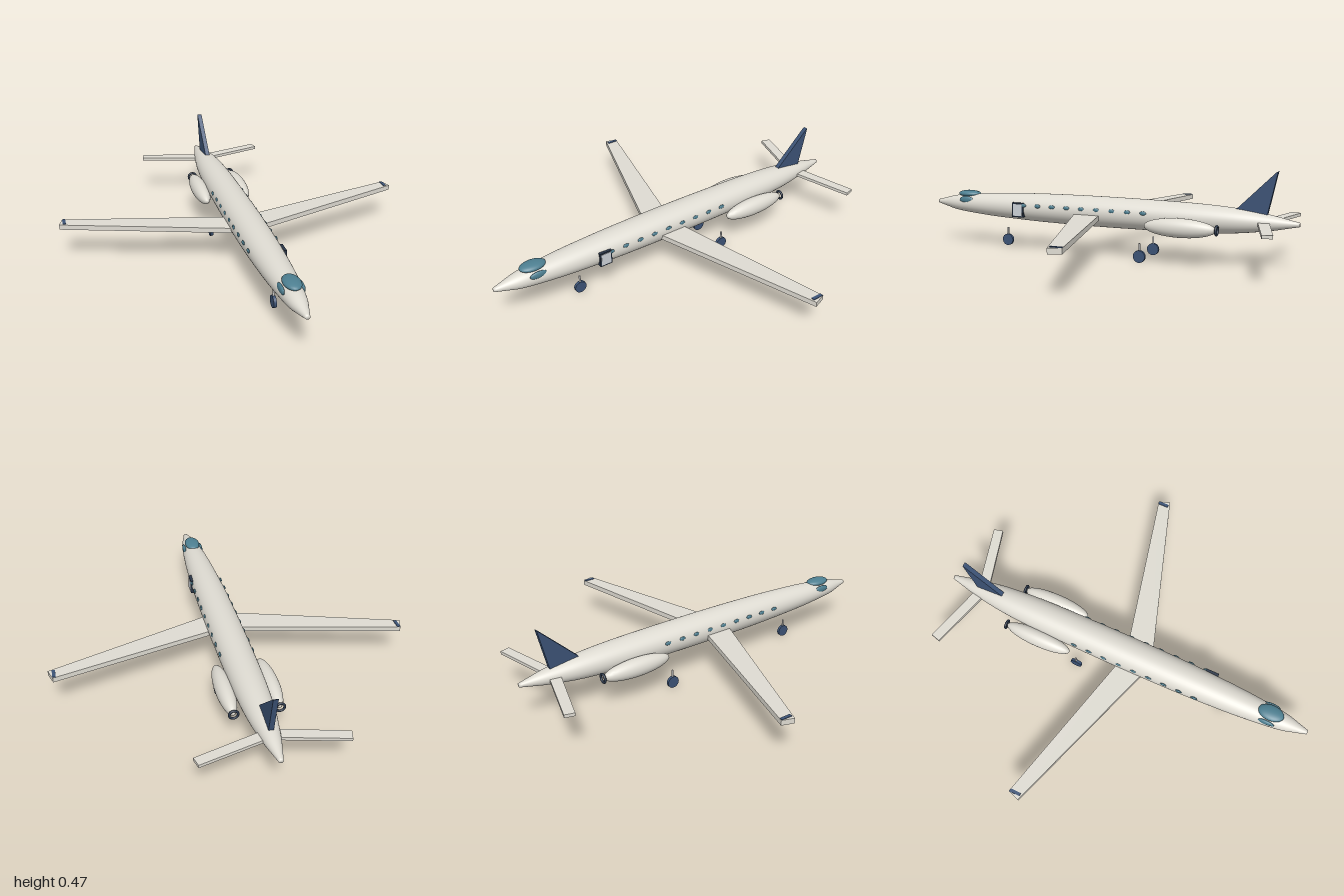
import * as THREE from 'three';

const paint = (color) => new THREE.MeshStandardMaterial({ color });
const WHITE = paint(0xdedbd2), NAVY = paint(0x3c5376), DARK = paint(0x2a3648),
  GLASS = paint(0x4d7f91), PANEL = paint(0xcdd2d8), GREY = paint(0xcccccc);

export function createModel() {
  const plane = new THREE.Group();
  plane.name = 'airplane';

  const add = (name, geometry, material, x = 0, y = 0, z = 0) => {
    const mesh = new THREE.Mesh(geometry, material);
    mesh.name = name;
    mesh.position.set(x, y, z);
    plane.add(mesh);
    return mesh;
  };
  const ellipsoid = (rx, ry, rz) => new THREE.SphereGeometry(1, 28, 18).scale(rx, ry, rz);
  const polygon = (points) => new THREE.Shape(points.map(([a, b]) => new THREE.Vector2(a, b)));

  // Flat panel: outline in (x, z), extruded upward
  const slab = (points, side, thickness) => new THREE.ExtrudeGeometry(
    polygon(points.map(([x, z]) => [x * side, -z])),
    { depth: thickness, bevelEnabled: false }
  ).rotateX(-Math.PI / 2);

  // Fuselage: smooth lathe along z, slightly wider than tall
  const stations = [[-1, 0.011], [-0.94, 0.025], [-0.88, 0.039], [-0.8, 0.053], [-0.7, 0.067],
    [-0.55, 0.078], [-0.35, 0.084], [0, 0.087], [0.3, 0.084], [0.5, 0.077], [0.66, 0.068],
    [0.8, 0.055], [0.88, 0.044], [0.94, 0.028], [1, 0.011]];
  const curve = new THREE.SplineCurve(stations.map(([z, r]) => new THREE.Vector2(r, z)));
  const profile = [new THREE.Vector2(0, -1), ...curve.getPoints(56), new THREE.Vector2(0, 1)];
  add('fuselage', new THREE.LatheGeometry(profile, 40).rotateX(Math.PI / 2).scale(1, 0.9, 1),
    WHITE, 0, 0.226, 0);

  // Cockpit canopy
  add('canopy', ellipsoid(0.041, 0.019, 0.067), GLASS, 0, 0.278, 0.798);

  // Vertical fin
  const fin = polygon([[0.69, 0.275], [0.885, 0.468], [0.893, 0.472], [0.845, 0.25], [0.69, 0.25]]);
  add('fin', new THREE.ExtrudeGeometry(fin, { depth: 0.024, bevelEnabled: false })
    .translate(0, 0, -0.012).rotateY(Math.PI / 2), NAVY);

  // Door on the left side: frame and raised panel
  add('doorFrame', new THREE.BoxGeometry(0.03, 0.076, 0.066), DARK, 0.071, 0.218, 0.453);
  add('doorPanel', new THREE.BoxGeometry(0.03, 0.062, 0.052), PANEL, 0.073, 0.218, 0.453);

  for (const side of [1, -1]) {
    const label = side > 0 ? 'left' : 'right';

    // Swept wing with tip marker
    add(label + 'Wing', slab([[0, 0.152], [0.905, -0.148], [0.885, -0.207], [0, 0.008]], side, 0.026),
      WHITE, 0, 0.191, 0);
    add(label + 'WingTipMarker', new THREE.BoxGeometry(0.016, 0.01, 0.055), NAVY,
      side * 0.878, 0.215, -0.176);

    // Tailplane
    add(label + 'Tailplane', slab([[0, -0.798], [0.352, -0.897], [0.339, -0.945], [0, -0.855]], side, 0.016),
      WHITE, 0, 0.214, 0);

    // Engine pod with dark exhaust ring
    add(label + 'Engine', ellipsoid(0.044, 0.047, 0.182), WHITE, side * 0.11, 0.19, -0.448);
    add(label + 'ExhaustRing', new THREE.TorusGeometry(0.021, 0.006, 12, 28), DARK,
      side * 0.11, 0.19, -0.632);

    // Cabin and cockpit side windows
    for (let i = 0; i < 9; i++) {
      add(label + 'Window' + (i + 1), new THREE.SphereGeometry(1, 14, 10).scale(0.006, 0.01, 0.017),
        GLASS, side * 0.082, 0.244, 0.42 - i * 0.0838);
    }
    add(label + 'CockpitWindow', ellipsoid(0.01, 0.019, 0.044), GLASS, side * 0.047, 0.25, 0.792);
  }

  // Landing gear: wheel and short strut
  const gear = (name, x, y, z) => {
    add(name + 'Wheel', new THREE.CylinderGeometry(0.031, 0.031, 0.015, 24).rotateZ(Math.PI / 2),
      NAVY, x, y, z);
    add(name + 'Strut', new THREE.CylinderGeometry(0.005, 0.005, 0.066, 10), GREY, x, y + 0.033, z);
  };
  gear('nose', 0, 0.039, 0.56);
  gear('leftMain', 0.1, 0.031, -0.24);
  gear('rightMain', -0.1, 0.031, -0.24);

  return plane;
}
